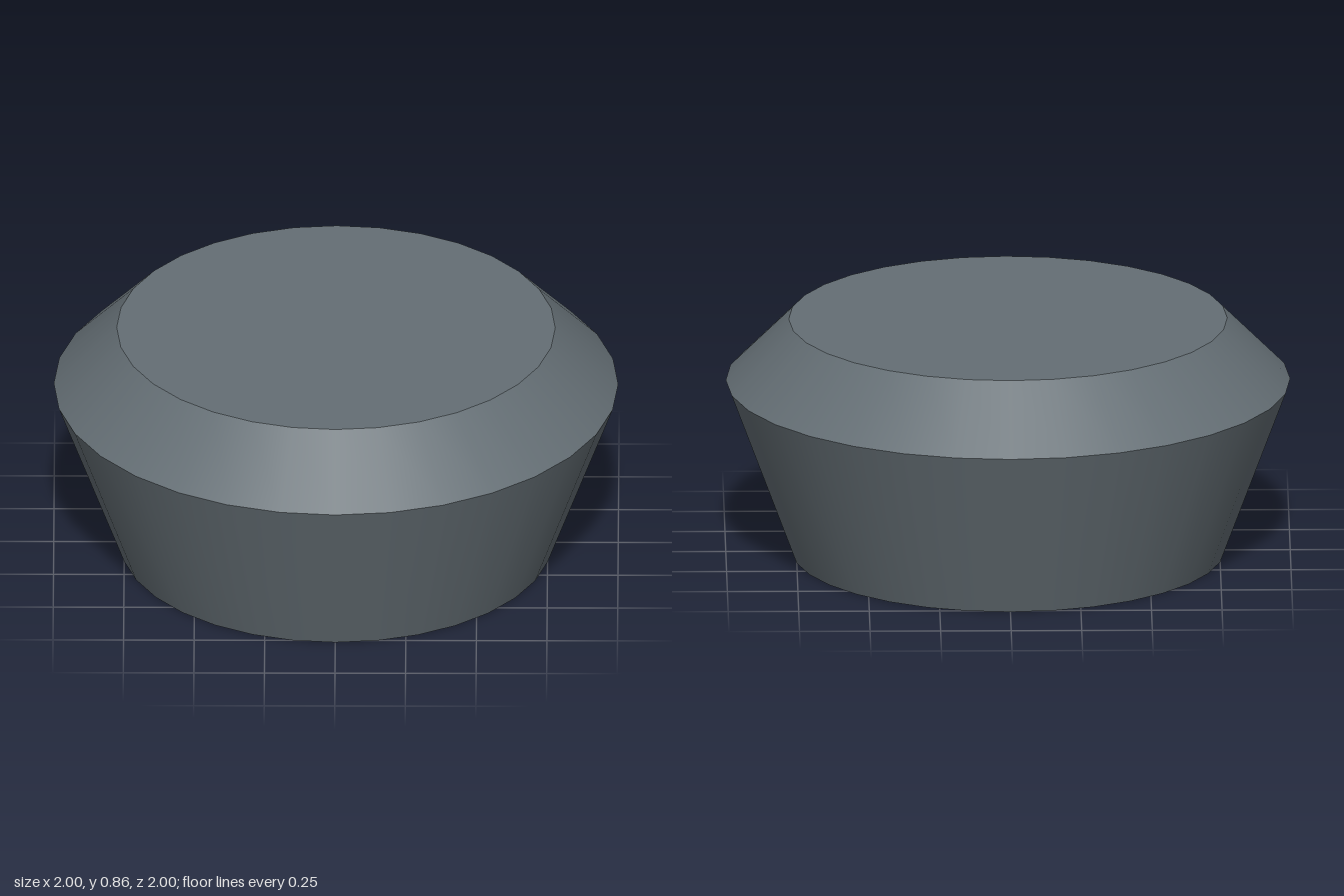
import * as THREE from 'three';

const SIDES = 32;

export function createModel() {
  const model = new THREE.Group();
  model.name = 'taperedFoot';
  const slate = new THREE.MeshStandardMaterial({ color: 0x646e74 });
  const grey = new THREE.MeshStandardMaterial({ color: 0xcccccc });

  // One turned band per profile segment: smooth around, sharp between bands
  const bands = [
    ['recessFloor', [0, 0.19], [0.485, 0.19], grey],
    ['recessWall', [0.485, 0.19], [0.625, 0], slate],
    ['bottomRim', [0.625, 0], [0.765, 0], slate],
    ['taperedSide', [0.765, 0], [1, 0.633], slate],
    ['topBevel', [1, 0.633], [0.777, 0.858], slate],
    ['topFace', [0.777, 0.858], [0, 0.858], slate],
  ];
  for (const [name, from, to, material] of bands) {
    const profile = [new THREE.Vector2(...from), new THREE.Vector2(...to)];
    const mesh = new THREE.Mesh(new THREE.LatheGeometry(profile, SIDES), material);
    mesh.name = name;
    model.add(mesh);
  }
  return model;
}
